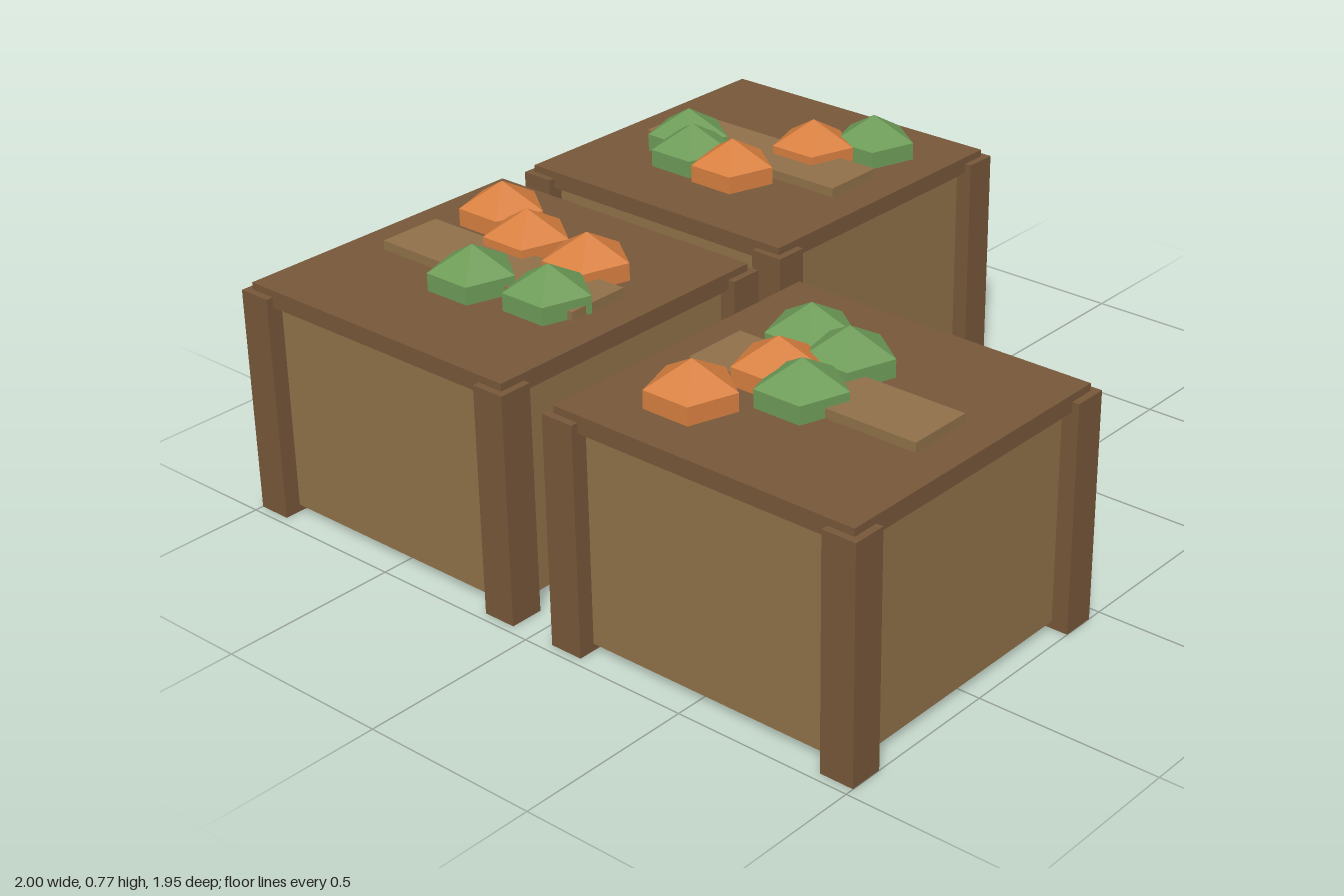
import * as THREE from 'three';

const mat = (color) => new THREE.MeshStandardMaterial({ color, flatShading: true });

const panelWood = mat(0x91724a);
const frameWood = mat(0x78583a);
const orange = mat(0xd98040);
const green = mat(0x6e9c58);

function box(name, material, size, pos) {
  const mesh = new THREE.Mesh(new THREE.BoxGeometry(...size), material);
  mesh.name = name;
  mesh.position.set(...pos);
  return mesh;
}

// Five-sided faceted ball, half sunk into the lid, one corner facing the back
const produceGeometry = new THREE.SphereGeometry(0.136, 5, 3).rotateY(-Math.PI / 2);

// One crate; produce entries are [material, x, z] relative to the crate centre
function crate(name, cx, cz, produce) {
  const group = new THREE.Group();
  group.name = name;
  group.position.set(cx, 0, cz);

  group.add(box('crateBody', panelWood, [0.84, 0.585, 0.84], [0, 0.3125, 0]));
  group.add(box('lid', frameWood, [0.894, 0.048, 0.894], [0, 0.629, 0]));
  group.add(box('plank', panelWood, [0.68, 0.03, 0.186], [0, 0.664, 0]));

  // Corner posts
  for (const sx of [-1, 1]) {
    for (const sz of [-1, 1]) {
      group.add(box('cornerPost', frameWood, [0.095, 0.633, 0.095], [sx * 0.419, 0.3165, sz * 0.419]));
    }
  }

  // Fruit and vegetables on the lid
  for (const [material, x, z] of produce) {
    const piece = new THREE.Mesh(produceGeometry, material);
    piece.name = material === orange ? 'orangeProduce' : 'greenProduce';
    piece.position.set(x - cx, 0.634, z - cz);
    group.add(piece);
  }
  return group;
}

export function createModel() {
  const model = new THREE.Group();
  model.name = 'produceCrates';
  model.add(
    crate('frontRightCrate', -0.533, 0.509, [
      [orange, -0.765, 0.27], [orange, -0.583, 0.36], [orange, -0.36, 0.37],
      [green, -0.53, 0.61], [green, -0.3, 0.573],
    ]),
    crate('frontLeftCrate', 0.533, 0.509, [
      [green, 0.346, 0.328], [green, 0.497, 0.37], [orange, 0.404, 0.52],
      [green, 0.52, 0.573], [orange, 0.326, 0.74],
    ]),
    crate('backRightCrate', -0.533, -0.511, [
      [green, -0.303, -0.74], [orange, -0.412, -0.605], [green, -0.738, -0.445],
      [green, -0.652, -0.365], [orange, -0.492, -0.35],
    ]),
  );
  return model;
}
